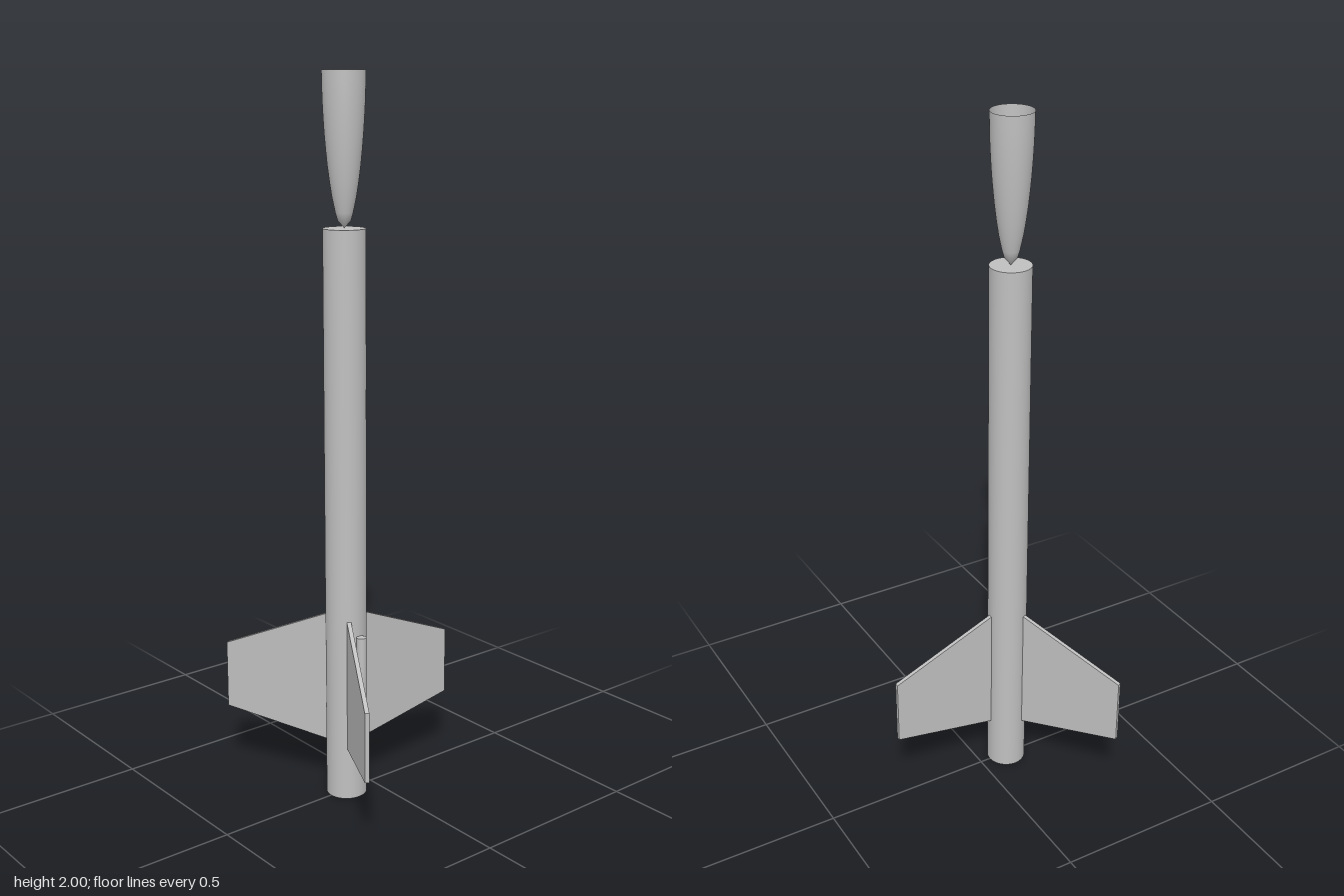
import * as THREE from 'three';

const BODY_R = 0.057, BODY_TOP = 1.6, NOSE_H = 0.4, AXIS_Z = 0.088;

export function createModel() {
  const grey = new THREE.MeshStandardMaterial({ color: 0xc0c0c0, side: THREE.DoubleSide });
  grey.name = 'grey';

  const rocket = new THREE.Group();
  rocket.name = 'rocket';
  rocket.position.z = AXIS_Z;

  const add = (name, geometry) => {
    const mesh = new THREE.Mesh(geometry, grey);
    mesh.name = name;
    rocket.add(mesh);
    return mesh;
  };

  // Closed body tube
  add('bodyTube', new THREE.CylinderGeometry(BODY_R, BODY_R, BODY_TOP, 48)).position.y = BODY_TOP / 2;

  // Hollow nose cone, tip down and open at the top: [height share, radius share]
  const profile = [
    [0, 0], [0.05, 0.31], [0.1, 0.41], [0.2, 0.56], [0.3, 0.67], [0.4, 0.76],
    [0.5, 0.83], [0.6, 0.89], [0.7, 0.935], [0.8, 0.97], [0.9, 0.99], [1, 1],
  ].map(([t, r]) => new THREE.Vector2(r * BODY_R, t * NOSE_H));
  add('noseCone', new THREE.LatheGeometry(profile, 48)).position.y = BODY_TOP;

  // Three swept fins spaced evenly round the tail
  const thickness = 0.012;
  const outline = new THREE.Shape([
    new THREE.Vector2(0.05, 0.15),
    new THREE.Vector2(0.368, 0.205),
    new THREE.Vector2(0.368, 0.4),
    new THREE.Vector2(0.05, 0.533),
  ]);
  const finGeometry = new THREE.ExtrudeGeometry(outline, { depth: thickness, bevelEnabled: false });
  finGeometry.translate(0, 0, -thickness / 2);
  ['backFin', 'rightFin', 'leftFin'].forEach((name, i) => {
    add(name, finGeometry).rotation.y = Math.PI / 2 + (i * Math.PI * 2) / 3;
  });

  // Launch lug on the left side
  add('launchLug', new THREE.CylinderGeometry(0.0135, 0.0135, 0.195, 24)).position.set(0.068, 0.3875, 0);

  const model = new THREE.Group();
  model.name = 'modelRocket';
  model.add(rocket);
  return model;
}
